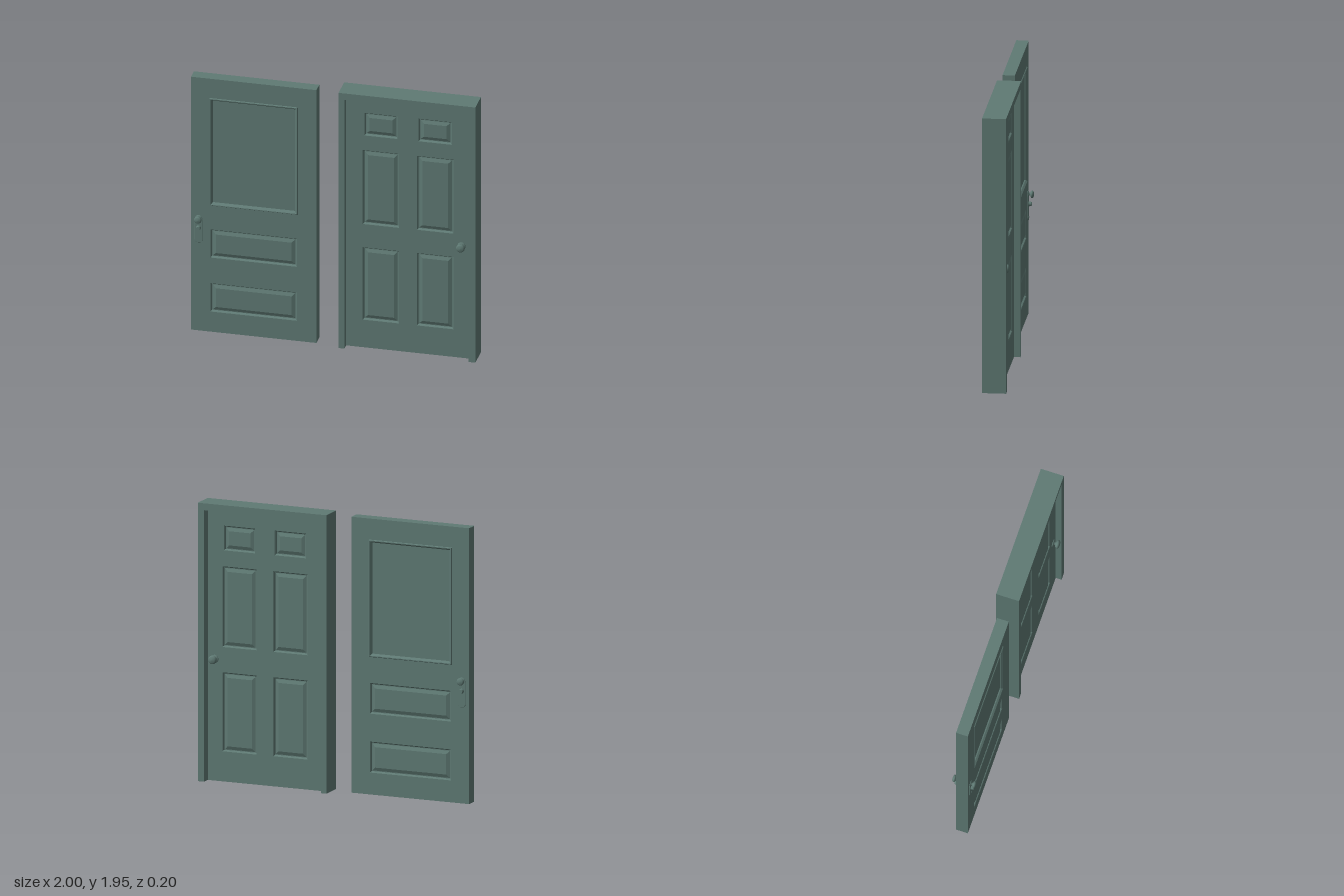
import * as THREE from 'three';

const material = new THREE.MeshStandardMaterial({ color: 0x5f7a74 });

function add(parent, name, geometry, x = 0, y = 0, z = 0) {
  const mesh = new THREE.Mesh(geometry, material);
  mesh.name = name;
  mesh.position.set(x, y, z);
  parent.add(mesh);
  return mesh;
}

function tracePath(path, x0, x1, y0, y1) {
  path.moveTo(x0, y0);
  path.lineTo(x1, y0);
  path.lineTo(x1, y1);
  path.lineTo(x0, y1);
  path.closePath();
  return path;
}

// Nested rectangles joined by mitred faces; each profile step is [inset, depth]
function panelGeometry(w, h, profile) {
  const positions = [];
  const rings = profile.map(([inset, z]) => {
    const a = w / 2 - inset, b = h / 2 - inset;
    return [[-a, -b, z], [a, -b, z], [a, b, z], [-a, b, z]];
  });
  const quad = (a, b, c, d) => positions.push(...a, ...b, ...c, ...a, ...c, ...d);
  for (let r = 0; r < rings.length - 1; r++) {
    for (let i = 0; i < 4; i++) {
      const j = (i + 1) % 4;
      quad(rings[r][i], rings[r][j], rings[r + 1][j], rings[r + 1][i]);
    }
  }
  quad(...rings[rings.length - 1]);
  const g = new THREE.BufferGeometry();
  g.setAttribute('position', new THREE.Float32BufferAttribute(positions, 3));
  g.computeVertexNormals();
  return g;
}

const RAISED = [[0, 0], [0.004, -0.003], [0.009, -0.014], [0.014, -0.014], [0.037, -0.004]];
const WINDOW = [[0, 0], [0.004, 0.006], [0.01, 0.006], [0.02, -0.006], [0.022, -0.014]];

// Slab with openings, each filled with a panel on both faces
function door(name, [x0, x1, y0, y1], zBack, zFront, panels) {
  const group = new THREE.Group();
  group.name = name;
  const shape = tracePath(new THREE.Shape(), x0, x1, y0, y1);
  for (const p of panels) shape.holes.push(tracePath(new THREE.Path(), ...p.rect));
  add(group, 'doorSlab', new THREE.ExtrudeGeometry(shape, { depth: zFront - zBack, bevelEnabled: false }), 0, 0, zBack);
  for (const { rect: [a, b, c, d], profile, label } of panels) {
    const g = panelGeometry(b - a, d - c, profile);
    add(group, label + 'Front', g, (a + b) / 2, (c + d) / 2, zFront);
    add(group, label + 'Back', g, (a + b) / 2, (c + d) / 2, zBack).rotation.y = Math.PI;
  }
  return group;
}

// Round knob on a rosette and neck, pointing along +z
function knobGeometry(radius, length) {
  const r = radius, l = length;
  const points = [
    [r * 0.95, 0], [r * 0.95, l * 0.08], [r * 0.8, l * 0.15], [r * 0.4, l * 0.2], [r * 0.38, l * 0.4],
    [r * 0.75, l * 0.47], [r * 0.97, l * 0.58], [r, l * 0.7], [r * 0.92, l * 0.84], [r * 0.65, l * 0.95], [0, l],
  ].map(([x, y]) => new THREE.Vector2(x, y));
  return new THREE.LatheGeometry(points, 28).rotateX(Math.PI / 2);
}

// Rounded plate with a knob, lock cylinder and small screw
function handleSet(name) {
  const group = new THREE.Group();
  group.name = name;
  const plate = new THREE.Shape();
  const r = 0.028, low = 0.708, high = 0.855;
  plate.absarc(0, high, r, 0, Math.PI);
  plate.absarc(0, low, r, Math.PI, Math.PI * 2);
  plate.closePath();
  add(group, 'handlePlate', new THREE.ExtrudeGeometry(plate, {
    depth: 0.003, bevelThickness: 0.003, bevelSize: 0.002, bevelOffset: -0.002, bevelSegments: 2, curveSegments: 14,
  }));
  add(group, 'handleKnob', knobGeometry(0.026, 0.042), 0, 0.866, 0);
  add(group, 'lockCylinder', new THREE.CylinderGeometry(0.014, 0.018, 0.026, 24).rotateX(Math.PI / 2), 0, 0.797, 0.013);
  add(group, 'plateScrew', new THREE.CylinderGeometry(0.005, 0.005, 0.004, 12).rotateX(Math.PI / 2), 0, 0.703, 0.007);
  return group;
}

export function createModel() {
  const model = new THREE.Group();
  model.name = 'doors';

  // Free-standing door with a large window above two wide panels
  const zb = -0.03, zf = 0.055;
  const windowDoor = door('windowDoor', [-1, -0.12, 0.01, 1.94], zb, zf, [
    { rect: [-0.872, -0.25, 0.972, 1.793], profile: WINDOW, label: 'window' },
    { rect: [-0.864, -0.258, 0.575, 0.79], profile: RAISED, label: 'upperPanel' },
    { rect: [-0.864, -0.258, 0.163, 0.38], profile: RAISED, label: 'lowerPanel' },
  ]);
  const front = handleSet('frontHandle');
  front.position.set(-0.946, 0, zf);
  const back = handleSet('backHandle');
  back.position.set(-0.946, 0, zb);
  back.rotation.y = Math.PI;
  windowDoor.add(front, back);
  model.add(windowDoor);

  // Six-panel door, in mirrored columns
  const db = -0.047, df = 0.033, cx = 0.5175;
  const panels = [];
  for (const [inner, outer, y0, y1, label] of [
    [0.073, 0.307, 1.622, 1.795, 'topPanel'],
    [0.062, 0.318, 0.945, 1.51, 'middlePanel'],
    [0.062, 0.318, 0.215, 0.768, 'bottomPanel'],
  ]) {
    panels.push({ rect: [cx - outer, cx - inner, y0, y1], profile: RAISED, label });
    panels.push({ rect: [cx + inner, cx + outer, y0, y1], profile: RAISED, label });
  }
  const panelDoor = door('panelDoor', [0.082, 0.943, 0.005, 1.894], db, df, panels);
  add(panelDoor, 'knobFront', knobGeometry(0.03, 0.05), 0.893, 0.857, df);
  add(panelDoor, 'knobBack', knobGeometry(0.03, 0.055), 0.893, 0.857, db).rotation.y = Math.PI;
  model.add(panelDoor);

  // Frame of two jambs and a head, open at the floor
  const frame = new THREE.Shape();
  [[0.04, 0], [0.081, 0], [0.081, 1.9], [0.953, 1.9], [0.953, 0], [1, 0], [1, 1.948], [0.04, 1.948]]
    .forEach(([x, y], i) => (i ? frame.lineTo(x, y) : frame.moveTo(x, y)));
  add(model, 'doorFrame', new THREE.ExtrudeGeometry(frame, { depth: 0.165, bevelEnabled: false }), 0, 0, -0.09);

  return model;
}
